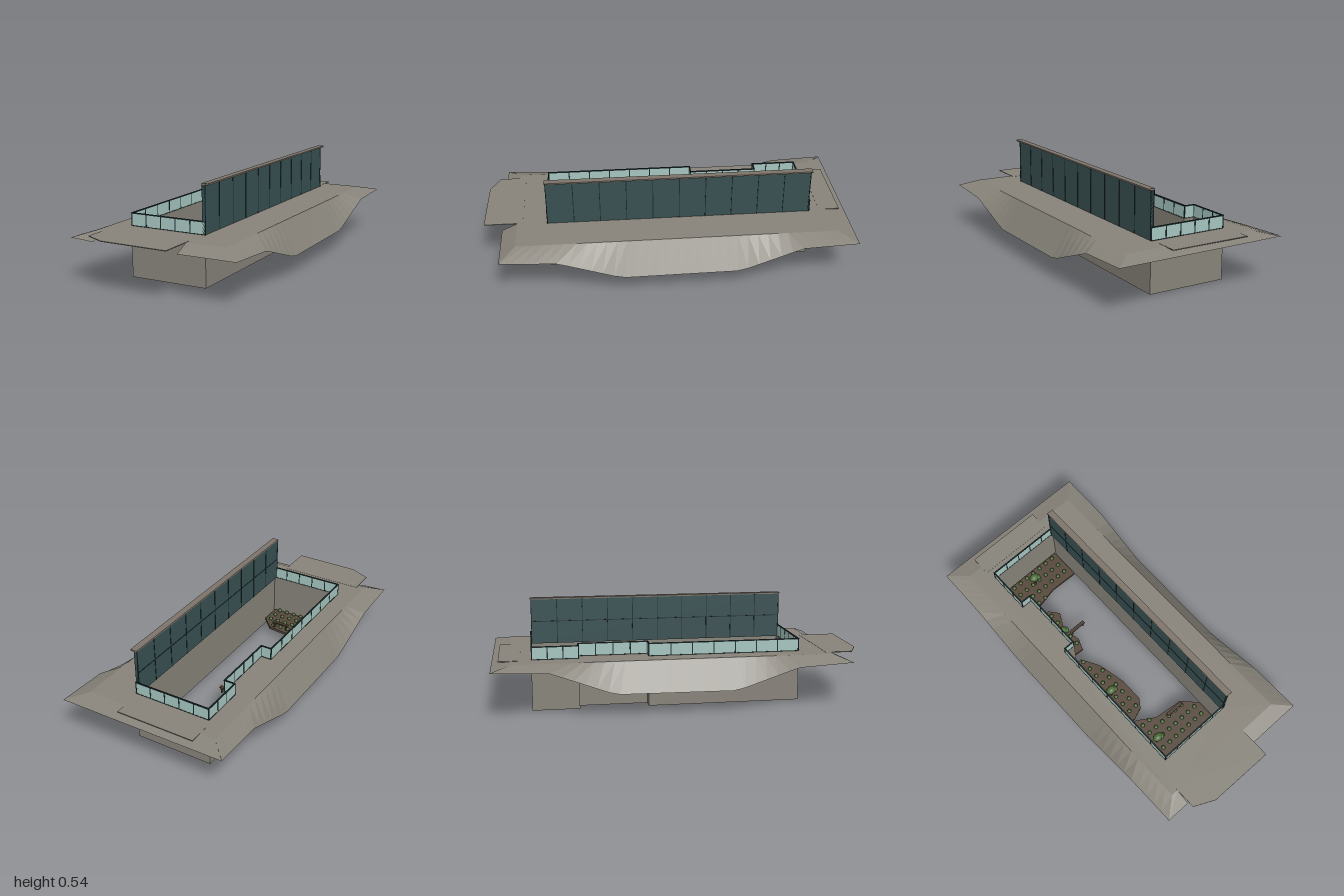
import * as THREE from 'three';
import { mergeGeometries } from 'three/addons/utils/BufferGeometryUtils.js';

const mat = (name, color, extra = {}) => {
  const m = new THREE.MeshStandardMaterial({ color, ...extra });
  m.name = name;
  return m;
};

// Courtyard outline as [x, z], starting at the front right corner of the screen wall
const COURT = [[0.165, 0.655], [-0.27, 0.655], [-0.27, -0.17], [-0.21, -0.17],
  [-0.21, -0.545], [-0.27, -0.545], [-0.27, -0.79], [0.165, -0.79]];

// Planting beds as [x, z] outlines
const BEDS = [
  [[-0.255, -0.775], [0.145, -0.775], [0.145, -0.59], [-0.02, -0.595], [-0.18, -0.56], [-0.255, -0.57]],
  [[-0.2, -0.495], [-0.135, -0.505], [-0.09, -0.45], [-0.14, -0.355], [-0.115, -0.25], [-0.14, -0.185], [-0.2, -0.19]],
  [[-0.255, -0.145], [-0.19, -0.145], [-0.13, -0.04], [-0.095, 0.12], [-0.095, 0.26], [-0.13, 0.31], [-0.2, 0.335], [-0.255, 0.33]],
  [[-0.255, 0.355], [-0.2, 0.345], [-0.1, 0.41], [0.07, 0.43], [0.145, 0.51], [0.145, 0.635], [-0.255, 0.635]],
];

const DECK = 0.275;

// Piecewise linear lookup
function lerpTable(t, v) {
  for (let i = 1; i < t.length; i++) {
    const [a, ya] = t[i - 1], [b, yb] = t[i];
    if (v <= b) return ya + (yb - ya) * Math.max(0, (v - a) / (b - a));
  }
  return t[t.length - 1][1];
}

function inside(poly, x, z) {
  let hit = false;
  poly.forEach(([ax, az], i) => {
    const [bx, bz] = poly[(i + 1) % poly.length];
    if ((az > z) !== (bz > z) && x < ax + ((z - az) / (bz - az)) * (bx - ax)) hit = !hit;
  });
  return hit;
}

const shapeOf = (pts) => new THREE.Shape(pts.map(([x, z]) => new THREE.Vector2(x, -z)));

// Horizontal plate from an outline, bottom at y
function plate(pts, y, depth, hole) {
  const s = shapeOf(pts);
  if (hole) s.holes.push(shapeOf(hole));
  return new THREE.ExtrudeGeometry(s, { depth, bevelEnabled: false }).rotateX(-Math.PI / 2).translate(0, y, 0);
}

function box(x0, x1, y0, y1, z0, z1) {
  return new THREE.BoxGeometry(x1 - x0, y1 - y0, z1 - z0)
    .translate((x0 + x1) / 2, (y0 + y1) / 2, (z0 + z1) / 2);
}

// Vertical panel of thickness t standing between two plan points
function panel([ax, az], [bx, bz], y0, y1, t) {
  return box(Math.min(ax, bx) - t / 2, Math.max(ax, bx) + t / 2, y0, y1,
    Math.min(az, bz) - t / 2, Math.max(az, bz) + t / 2);
}

// Sloping strip of ground between two matching rows of points
function strip(inner, outer) {
  const pos = [];
  for (let i = 0; i + 1 < inner.length; i++) {
    const a = inner[i], b = inner[i + 1], c = outer[i], d = outer[i + 1];
    pos.push(...a, ...c, ...b, ...b, ...c, ...d);
  }
  const g = new THREE.BufferGeometry();
  g.setAttribute('position', new THREE.Float32BufferAttribute(pos, 3));
  g.computeVertexNormals();
  return g;
}

export function createModel() {
  const root = new THREE.Group();
  root.name = 'sunkenCourtyard';
  const concrete = mat('concrete', 0x87837a, { side: THREE.DoubleSide });
  const glass = mat('paleGlass', 0xa6c6c0);
  const darkGlass = mat('darkGlass', 0x385052);
  const frame = mat('darkFrame', 0x1c2a2c);
  const capMat = mat('capStone', 0x7d746a);
  const soil = mat('soil', 0x55473a);
  const leaf = mat('leaf', 0x4c6b38);
  const wood = mat('wood', 0x4a3c30);

  const add = (name, geos, material) => {
    const m = new THREE.Mesh(Array.isArray(geos) ? mergeGeometries(geos) : geos, material);
    m.name = name;
    root.add(m);
    return m;
  };

  // Ground: level deck with the courtyard cut out
  const X = 0.375, ZF = 0.82, ZB = -0.9, OX = 0.475, OZF = 0.905, OZB = -1;
  add('deck', new THREE.ShapeGeometry((() => {
    const s = shapeOf([[-X, ZF], [X, ZF], [X, ZB], [-X, ZB]]);
    s.holes.push(shapeOf(COURT));
    return s;
  })()).rotateX(-Math.PI / 2).translate(0, DECK, 0), concrete);

  // Banks along both long sides, dropping lowest in the middle
  const drop = [[-1, 0.25], [-0.7, 0.237], [-0.37, 0.115], [0.27, 0.11], [0.6, 0.22], [0.905, 0.237]];
  const N = 32;
  for (const side of [1, -1]) {
    const inner = [], outer = [];
    for (let i = 0; i <= N; i++) {
      const t = i / N;
      const oz = OZF + (OZB - OZF) * t;
      inner.push([side * X, DECK, ZF + (ZB - ZF) * t]);
      outer.push([side * OX, lerpTable(drop, oz) + (side < 0 ? 0.008 : 0), oz]);
    }
    add(side > 0 ? 'leftBank' : 'rightBank', side > 0 ? strip(inner, outer) : strip(inner.reverse(), outer.reverse()), concrete);
  }
  // End banks; the front one is interrupted by the forecourt
  add('frontBank', [
    strip([[-X, DECK, ZF], [-0.335, DECK, ZF]], [[-OX, 0.243, OZF], [-0.335, 0.236, OZF]]),
    strip([[0.155, DECK, ZF], [X, DECK, ZF]], [[0.155, 0.236, OZF], [OX, 0.237, OZF]]),
  ], concrete);
  add('backBank', strip([[X, DECK, ZB], [-X, DECK, ZB]], [[OX, 0.25, OZB], [-OX, 0.255, OZB]]), concrete);

  // Flat forecourts at both ends
  add('frontForecourt', plate([[-0.335, 0.79], [-0.335, 0.94], [-0.22, 0.995], [0.155, 1], [0.155, 0.79]], DECK - 0.003, 0.004), concrete);
  add('backForecourt', plate([[-0.29, -0.85], [0.155, -0.85], [0.155, -0.965], [-0.29, -0.965]], DECK - 0.003, 0.004), concrete);

  // Retaining walls of the courtyard, open above and below
  add('retainingWalls', COURT.map((p, i) => panel(p, COURT[(i + 1) % COURT.length], 0, DECK - 0.001, 0.006)), concrete);

  // Glass balustrade with posts and rails on every side but the screen
  const panes = [], bars = [];
  for (let i = 0; i + 1 < COURT.length; i++) {
    const a = COURT[i], b = COURT[i + 1];
    panes.push(panel(a, b, DECK, 0.34, 0.004));
    bars.push(panel(a, b, 0.339, 0.345, 0.007), panel(a, b, DECK, 0.278, 0.006));
    const len = Math.hypot(b[0] - a[0], b[1] - a[1]);
    const n = Math.max(1, Math.round(len / (i === 1 ? 0.12 : 0.087)));
    for (let k = 0; k <= n; k++) {
      const p = [a[0] + (b[0] - a[0]) * k / n, a[1] + (b[1] - a[1]) * k / n];
      bars.push(panel(p, p, DECK, 0.342, 0.006));
    }
  }
  add('balustradeGlass', panes, glass);
  add('balustradeFrame', bars, frame);

  // Tall glazed screen along one side, with mullions and a cap
  add('screen', box(0.15, 0.165, DECK, 0.53, -0.787, 0.657), darkGlass);
  const mullions = [];
  for (let i = 0; i <= 10; i++) {
    const z = -0.785 + i * 0.144;
    mullions.push(box(0.148, 0.167, DECK, 0.53, z - 0.002, z + 0.002));
  }
  mullions.push(box(0.148, 0.16, 0.4, 0.404, -0.787, 0.657));
  add('screenMullions', mullions, frame);
  add('screenCap', box(0.148, 0.185, 0.528, 0.536, -0.79, 0.66), capMat);

  // Planting beds with rows of ground cover
  const tufts = [];
  add('plantingBeds', BEDS.map((b) => plate(b, 0.04, 0.015)), soil);
  for (const bed of BEDS) {
    for (let x = -0.24; x < 0.145; x += 0.0495) {
      for (let z = -0.755; z < 0.64; z += 0.0575) {
        if (inside(bed, x, z)) tufts.push(new THREE.SphereGeometry(0.012, 8, 6).scale(1, 0.9, 1).translate(x, 0.062, z));
      }
    }
  }
  add('groundCover', tufts, leaf);

  // One small tree per bed
  const trunks = [], crowns = [];
  for (const [x, z] of [[-0.075, -0.695], [-0.17, -0.325], [-0.2, 0.135], [-0.19, 0.515]]) {
    trunks.push(new THREE.CylinderGeometry(0.005, 0.007, 0.08, 8).translate(x, 0.092, z));
    crowns.push(new THREE.SphereGeometry(0.03, 12, 8).scale(1, 0.85, 0.8).translate(x, 0.142, z),
      new THREE.SphereGeometry(0.02, 10, 8).translate(x + 0.018, 0.136, z + 0.006));
  }
  add('treeTrunks', trunks, wood);
  add('treeCrowns', crowns, leaf);

  // Benches with two legs each
  const benches = [];
  for (const [x, z] of [[-0.08, -0.303], [0.005, 0.448]]) {
    benches.push(box(x - 0.052, x + 0.052, 0.084, 0.091, z - 0.01, z + 0.01));
    for (const s of [-1, 1]) benches.push(box(x + s * 0.04 - 0.004, x + s * 0.04 + 0.004, 0.055, 0.085, z - 0.008, z + 0.008));
  }
  add('benches', benches, wood);

  return root;
}
